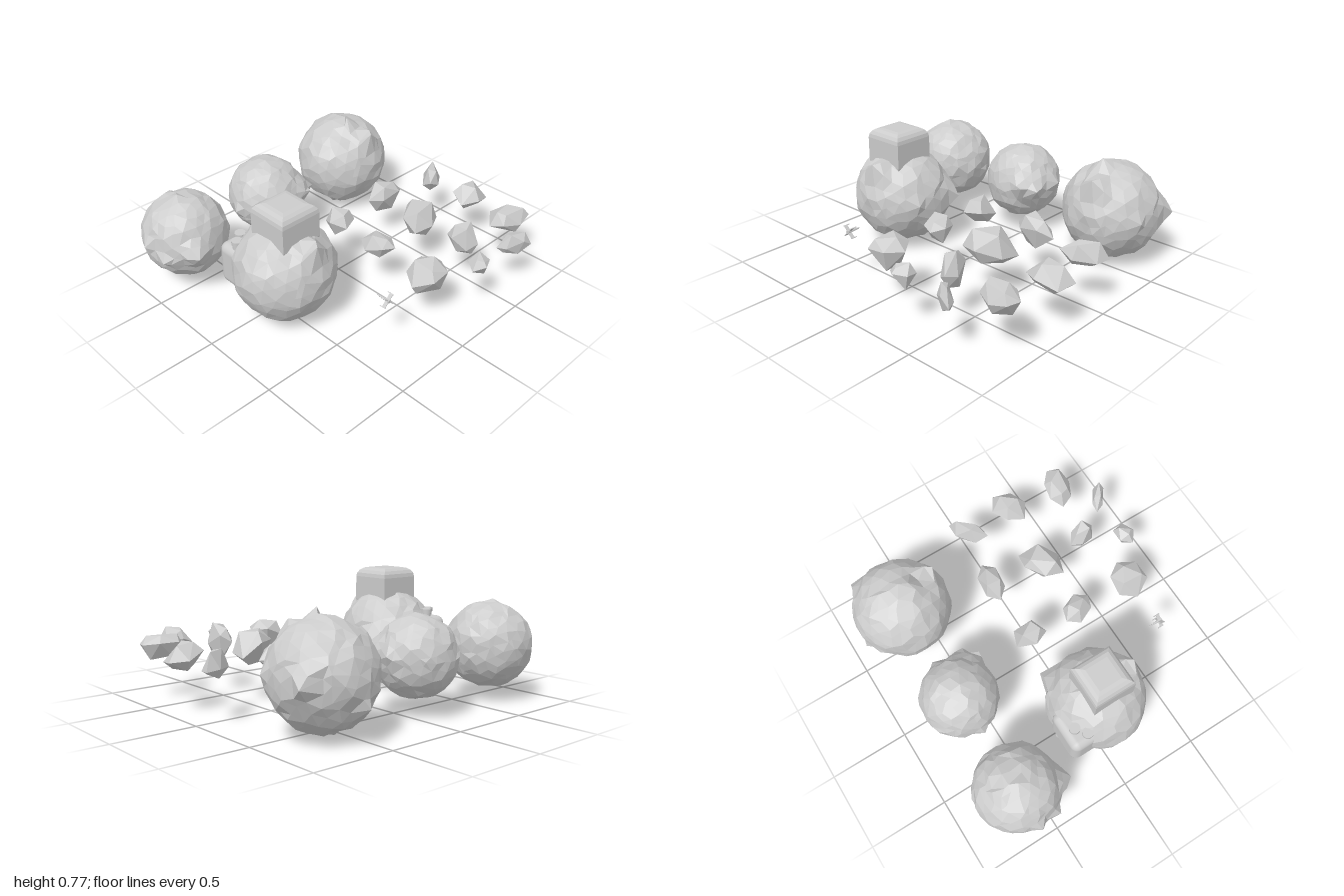
import * as THREE from 'three';
import { mergeVertices } from 'three/addons/utils/BufferGeometryUtils.js';
import { ConvexGeometry } from 'three/addons/geometries/ConvexGeometry.js';
import { RoundedBoxGeometry } from 'three/addons/geometries/RoundedBoxGeometry.js';

const flat = new THREE.MeshStandardMaterial({ color: 0xcccccc, flatShading: true });
const smooth = new THREE.MeshStandardMaterial({ color: 0xcccccc });

function seeded(seed) {
  let s = seed * 7919 + 17;
  return () => (s = (s * 16807) % 2147483647) / 2147483647;
}

function add(parent, name, geometry, material, x = 0, y = 0, z = 0) {
  const mesh = new THREE.Mesh(geometry, material);
  mesh.name = name;
  mesh.position.set(x, y, z);
  parent.add(mesh);
  return mesh;
}

function faceted(geometry) {
  const g = geometry.index ? geometry.toNonIndexed() : geometry;
  g.computeVertexNormals();
  return g;
}

// Large boulder: a jittered icosphere pulled out to a few pointed corners
function boulderGeometry(radius, tips, seed) {
  const rand = seeded(seed);
  const ico = new THREE.IcosahedronGeometry(1, 4);
  ico.deleteAttribute('normal');
  ico.deleteAttribute('uv');
  const g = mergeVertices(ico, 1e-4);
  const pos = g.attributes.position;
  const nearest = tips.map(() => ({ angle: 9, index: 0 }));
  const v = new THREE.Vector3();
  for (let i = 0; i < pos.count; i++) {
    v.fromBufferAttribute(pos, i);
    v.x += (rand() - 0.5) * 0.13;
    v.y += (rand() - 0.5) * 0.13;
    v.z += (rand() - 0.5) * 0.13;
    v.normalize();
    let r = radius;
    tips.forEach((tip, k) => {
      const angle = v.angleTo(tip);
      r = Math.max(r, tip.length() * (1 - 0.5 * angle));
      if (angle < nearest[k].angle) nearest[k] = { angle, index: i };
    });
    v.multiplyScalar(r * (0.965 + rand() * 0.055));
    pos.setXYZ(i, v.x, v.y, v.z);
  }
  tips.forEach((t, k) => pos.setXYZ(nearest[k].index, t.x, t.y, t.z));
  return faceted(g);
}

// Small rock: convex hull of an uneven oval ring with offset top and bottom facets
function shardGeometry(length, width, height, sides, seed) {
  const rand = seeded(seed);
  const points = [];
  for (let i = 0; i < sides; i++) {
    const a = (i / sides) * Math.PI * 2;
    const reach = i === 0 ? 1 : 0.92 + rand() * 0.16;
    const x = length * Math.cos(a) * Math.min(reach, 1);
    const z = width * Math.sin(a) * reach;
    points.push(new THREE.Vector3(x, (rand() - 0.5) * 0.4 * height, z));
    // inner corners alternate between the top and bottom facets
    const k = 0.45 + rand() * 0.25;
    const y = (0.5 - rand() * 0.18) * height * (i % 2 ? -1 : 1);
    points.push(new THREE.Vector3(x * k, y, z * k));
  }
  return new ConvexGeometry(points);
}

export function createModel() {
  const model = new THREE.Group();
  model.name = 'asteroidField';
  const at = (x, y, z) => new THREE.Vector3(x, y, z);

  // Boulders; the two largest share one shape
  const large = boulderGeometry(0.305, [
    at(-0.2, 0, -0.31), at(0.26, 0.26, -0.02), at(0.08, 0.34, 0.03),
    at(-0.31, -0.13, 0.05), at(0, -0.33, 0.08), at(0.13, 0.02, -0.295),
  ], 3);
  const middle = boulderGeometry(0.242, [
    at(0.17, 0.02, -0.25), at(0.24, 0.04, -0.17), at(0.02, -0.03, 0.265),
    at(-0.03, 0.03, -0.265), at(0.02, -0.255, 0.02),
  ], 5);
  const front = boulderGeometry(0.263, [
    at(0.3, 0, 0.115), at(0.17, 0.02, -0.21), at(0, 0.02, 0.288),
    at(0.14, -0.04, 0.26), at(0, 0.275, 0.03),
  ], 8);
  add(model, 'backBoulder', large, flat, -0.61, 0.33, -0.62);
  add(model, 'middleBoulder', middle, flat, -0.605, 0.34, 0.07);
  add(model, 'frontBoulder', front, flat, -0.6, 0.335, 0.71);

  // Boulder carrying the station blocks
  const base = new THREE.Group();
  base.name = 'stationBoulder';
  model.add(base);
  add(base, 'boulder', large, flat, 0.082, 0.33, 0.512);

  // Top block: square plan, rounded shoulders with mitred corners
  const half = 0.133, bevel = 0.06;
  const profile = [new THREE.Vector2(0, 0.5)];
  for (const [y, start] of [[0.5 + bevel, -Math.PI / 2], [0.77 - bevel, 0]]) {
    for (let i = 0; i <= 4; i++) {
      const a = start + (i / 4) * Math.PI / 2;
      profile.push(new THREE.Vector2(half - bevel + bevel * Math.cos(a), y + bevel * Math.sin(a)));
    }
  }
  profile.push(new THREE.Vector2(0, 0.77));
  profile.forEach((p) => { p.x *= Math.SQRT2; });
  const block = new THREE.LatheGeometry(profile, 4).rotateY(Math.PI / 4);
  add(base, 'topBlock', faceted(block), flat, 0.102, 0, 0.507);

  // Side block with two capped pipes
  add(base, 'sideBlock', new RoundedBoxGeometry(0.27, 0.27, 0.27, 3, 0.05), smooth, -0.09, 0.33, 0.61);
  for (const [x, z] of [[-0.155, 0.63], [-0.105, 0.692]]) {
    add(base, 'pipe', new THREE.CylinderGeometry(0.028, 0.028, 0.05, 20), smooth, x, 0.475, z);
    add(base, 'pipeCap', new THREE.CylinderGeometry(0.033, 0.033, 0.025, 20), smooth, x, 0.4975, z);
  }

  // Small rocks: x, z, half length, half width, heading in degrees, height, sides
  const shards = [
    [0.01, -0.86, 0.14, 0.06, 233, 0.16, 6],
    [0.32, -0.87, 0.137, 0.11, 250, 0.18, 6],
    [0.67, -0.82, 0.14, 0.09, 107, 0.17, 7],
    [0.855, -0.62, 0.11, 0.04, 306, 0.16, 6],
    [-0.055, -0.47, 0.14, 0.08, 275, 0.2, 6],
    [0.285, -0.42, 0.16, 0.11, 57, 0.23, 6],
    [0.61, -0.445, 0.1, 0.06, 165, 0.25, 6],
    [0.845, -0.3, 0.08, 0.065, 80, 0.15, 5],
    [-0.04, -0.045, 0.11, 0.085, 20, 0.18, 5],
    [0.305, -0.03, 0.11, 0.08, 340, 0.17, 6],
    [0.685, -0.03, 0.125, 0.12, 270, 0.22, 6],
  ];
  shards.forEach(([x, z, length, width, heading, height, sides], i) => {
    const rock = shardGeometry(length, width, height, sides, i + 2);
    const mesh = add(model, 'smallRock' + (i + 1), rock, flat, x, 0.325, z);
    mesh.rotation.y = -THREE.MathUtils.degToRad(heading);
  });

  // Tiny craft with four crossed wings, nose towards -x
  const craft = new THREE.Group();
  craft.name = 'craft';
  craft.position.set(0.68, 0.325, 0.307);
  model.add(craft);
  const hull = new THREE.CylinderGeometry(0.011, 0.003, 0.09, 6).rotateZ(-Math.PI / 2);
  add(craft, 'hull', faceted(hull), flat, -0.015);
  for (let i = 0; i < 4; i++) {
    const wing = new THREE.Group();
    wing.name = 'wing';
    wing.rotation.x = Math.PI / 4 + i * Math.PI / 2;
    craft.add(wing);
    add(wing, 'panel', new THREE.BoxGeometry(0.022, 0.042, 0.004), flat, 0.015, 0.023, 0);
    add(wing, 'tip', new THREE.BoxGeometry(0.04, 0.005, 0.005), flat, 0.008, 0.043, 0);
  }
  return model;
}
